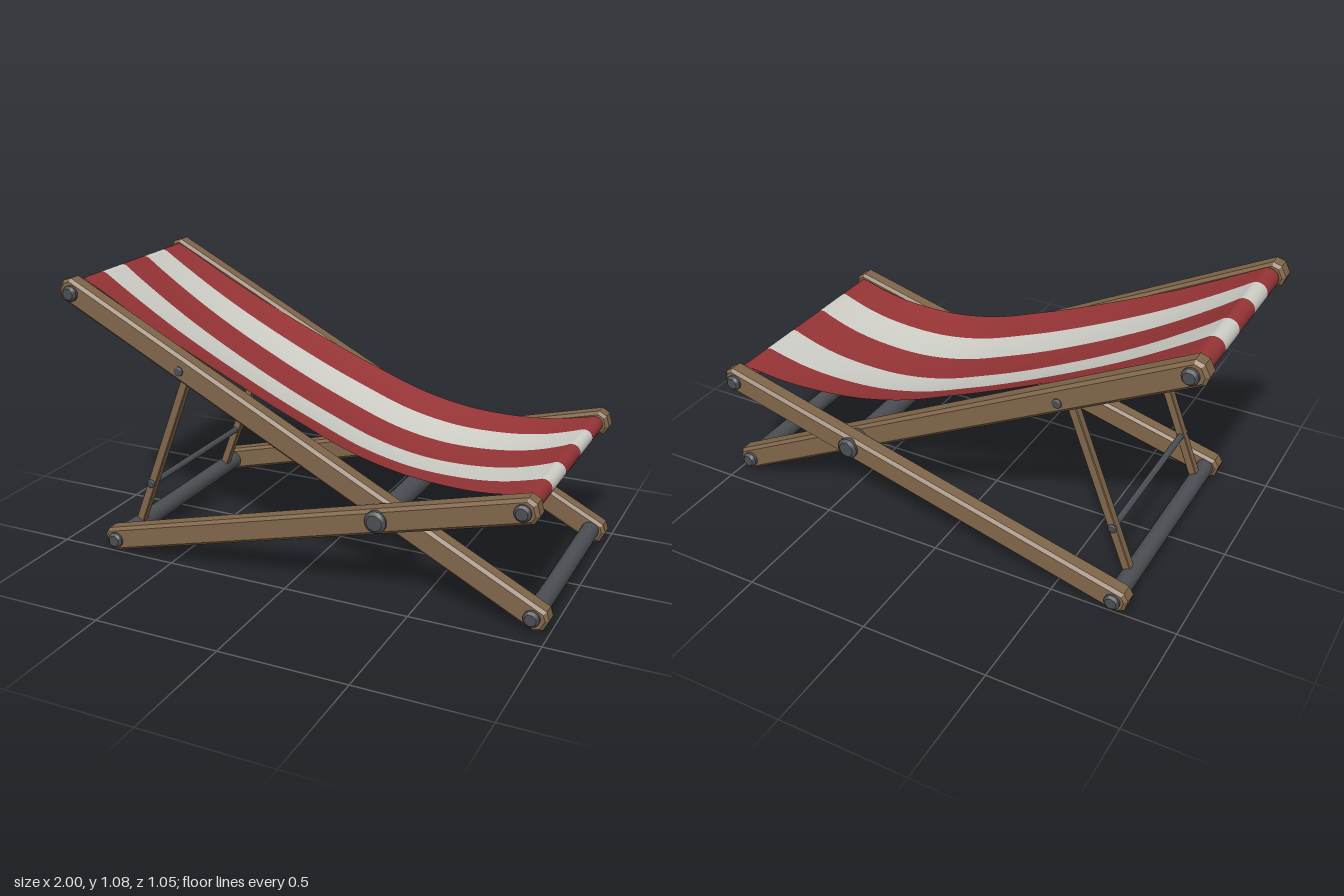
import * as THREE from 'three';
import { toCreasedNormals } from 'three/addons/utils/BufferGeometryUtils.js';

const mat = (color, side = THREE.FrontSide) => new THREE.MeshStandardMaterial({ color, side });

export function createModel() {
  const model = new THREE.Group();
  const wood = mat(0x80664a), metal = mat(0x4b4e52);
  const red = mat(0x963436, THREE.DoubleSide), white = mat(0xcfcfc8, THREE.DoubleSide);

  const add = (name, geometry, material, x = 0, y = 0, z = 0) => {
    const mesh = new THREE.Mesh(geometry, material);
    mesh.name = name;
    mesh.position.set(x, y, z);
    model.add(mesh);
    return mesh;
  };

  // Joints of the folding frame, in side profile
  const headJoint = [-0.94, 1.03], footJoint = [0.94, 0.07];
  const rearJoint = [-0.75, 0.06], seatJoint = [0.91, 0.4975];
  const pivot = [0.375, 0.36], propTop = [-0.47, 0.78], propBar = [-0.672, 0.257];

  // Plank between two joints with clipped ends and bevelled edges
  function plank(name, a, b, over, height, thick, clip, bevel, z) {
    const l = Math.hypot(b[0] - a[0], b[1] - a[1]) / 2 + over - bevel;
    const h = height / 2 - bevel;
    const shape = new THREE.Shape([
      [-l, -h + clip], [-l + clip, -h], [l - clip, -h], [l, -h + clip],
      [l, h - clip], [l - clip, h], [-l + clip, h], [-l, h - clip],
    ].map(p => new THREE.Vector2(...p)));
    const depth = thick - 2 * bevel;
    const geo = new THREE.ExtrudeGeometry(shape, {
      depth, bevelEnabled: true, bevelSize: bevel, bevelThickness: bevel, bevelSegments: 1,
    });
    geo.translate(0, 0, -depth / 2);
    const mesh = add(name, geo, wood, (a[0] + b[0]) / 2, (a[1] + b[1]) / 2, z);
    mesh.rotation.z = Math.atan2(b[1] - a[1], b[0] - a[0]);
  }

  // Bolt head with a chamfered rim, pointing outwards along z
  function bolt(name, [x, y], r, z, length, side) {
    const profile = [[0, -0.01], [r, -0.01], [r, length * 0.5], [r * 0.7, length], [0, length]]
      .map(p => new THREE.Vector2(...p));
    const geo = toCreasedNormals(new THREE.LatheGeometry(profile, 20), 0.5);
    geo.rotateX(side * Math.PI / 2);
    add(name, geo, metal, x, y, side * z);
  }

  function bar(name, [x, y], r, halfLength) {
    const geo = new THREE.CylinderGeometry(r, r, halfLength * 2, 24);
    geo.rotateX(Math.PI / 2);
    add(name, geo, metal, x, y, 0);
  }

  // Rails, props and bolts on both sides
  for (const side of [1, -1]) {
    const s = side > 0 ? 'left' : 'right';
    plank(s + 'BackRail', headJoint, footJoint, 0.056, 0.096, 0.072, 0.018, 0.012, side * 0.395);
    plank(s + 'SeatRail', rearJoint, seatJoint, 0.052, 0.096, 0.072, 0.018, 0.012, side * 0.47);
    plank(s + 'Prop', propTop, [-0.738, 0.085], 0.015, 0.034, 0.035, 0.004, 0.003, side * 0.338);
    bolt(s + 'HeadBolt', headJoint, 0.031, 0.431, 0.023, side);
    bolt(s + 'FootBolt', footJoint, 0.031, 0.431, 0.023, side);
    bolt(s + 'RearBolt', rearJoint, 0.031, 0.506, 0.019, side);
    bolt(s + 'SeatBolt', seatJoint, 0.031, 0.506, 0.019, side);
    bolt(s + 'PivotBolt', pivot, 0.042, 0.506, 0.019, side);
    bolt(s + 'PropBolt', propTop, 0.019, 0.431, 0.008, side);
    bolt(s + 'PropBarBolt', propBar, 0.018, 0.355, 0.008, side);
  }

  // Cross bars
  bar('headBar', headJoint, 0.034, 0.4);
  bar('footBar', footJoint, 0.036, 0.4);
  bar('rearBar', rearJoint, 0.036, 0.47);
  bar('seatBar', seatJoint, 0.028, 0.47);
  bar('pivotBar', pivot, 0.041, 0.47);
  bar('propBar', propBar, 0.013, 0.345);

  // Fabric path: sleeve round the head bar, hanging sheet, sleeve round the seat bar
  const path = [];
  const sleeve = ([x, y], r, start) => {
    for (let i = 0; i <= 24; i++) {
      const a = start - i / 24 * Math.PI * 2;
      path.push([x + r * Math.cos(a), y + r * Math.sin(a), 0]);
    }
  };
  sleeve(headJoint, 0.04, 1.1);
  const sheet = new THREE.CatmullRomCurve3([
    [-0.922, 1.066], [-0.6, 0.895], [-0.2, 0.712], [0, 0.63], [0.2, 0.555],
    [0.4, 0.51], [0.6, 0.496], [0.75, 0.503], [0.904, 0.53],
  ].map(p => new THREE.Vector3(p[0], p[1], 0)));
  for (let i = 1; i < 48; i++) {
    const p = sheet.getPoint(i / 48);
    const t = (p.x + 0.922) / 1.826;
    path.push([p.x, p.y, 0.066 * Math.pow(Math.sin(Math.PI * t), 0.75)]);
  }
  sleeve(seatJoint, 0.033, 1.745);

  // Each stripe spans a share of the fabric width, which flares towards the seat
  const edges = [-1, -0.63, -0.23, 0.23, 0.63, 1], cols = 6;
  for (let k = 0; k < 5; k++) {
    const pos = [], index = [];
    path.forEach(([x, y, sag], i) => {
      const half = 0.35 + 0.08 * Math.pow(Math.max(0, (x + 0.95) / 1.87), 2.5);
      for (let j = 0; j <= cols; j++) {
        const u = THREE.MathUtils.lerp(edges[k], edges[k + 1], j / cols);
        pos.push(x, y - sag * (1 - u * u), u * half);
        if (i < path.length - 1 && j < cols) {
          const a = i * (cols + 1) + j, c = a + cols + 1;
          index.push(a, a + 1, c, a + 1, c + 1, c);
        }
      }
    });
    const geo = new THREE.BufferGeometry();
    geo.setAttribute('position', new THREE.Float32BufferAttribute(pos, 3));
    geo.setIndex(index);
    geo.computeVertexNormals();
    add('fabricStripe' + (k + 1), geo, k % 2 ? white : red);
  }

  return model;
}
